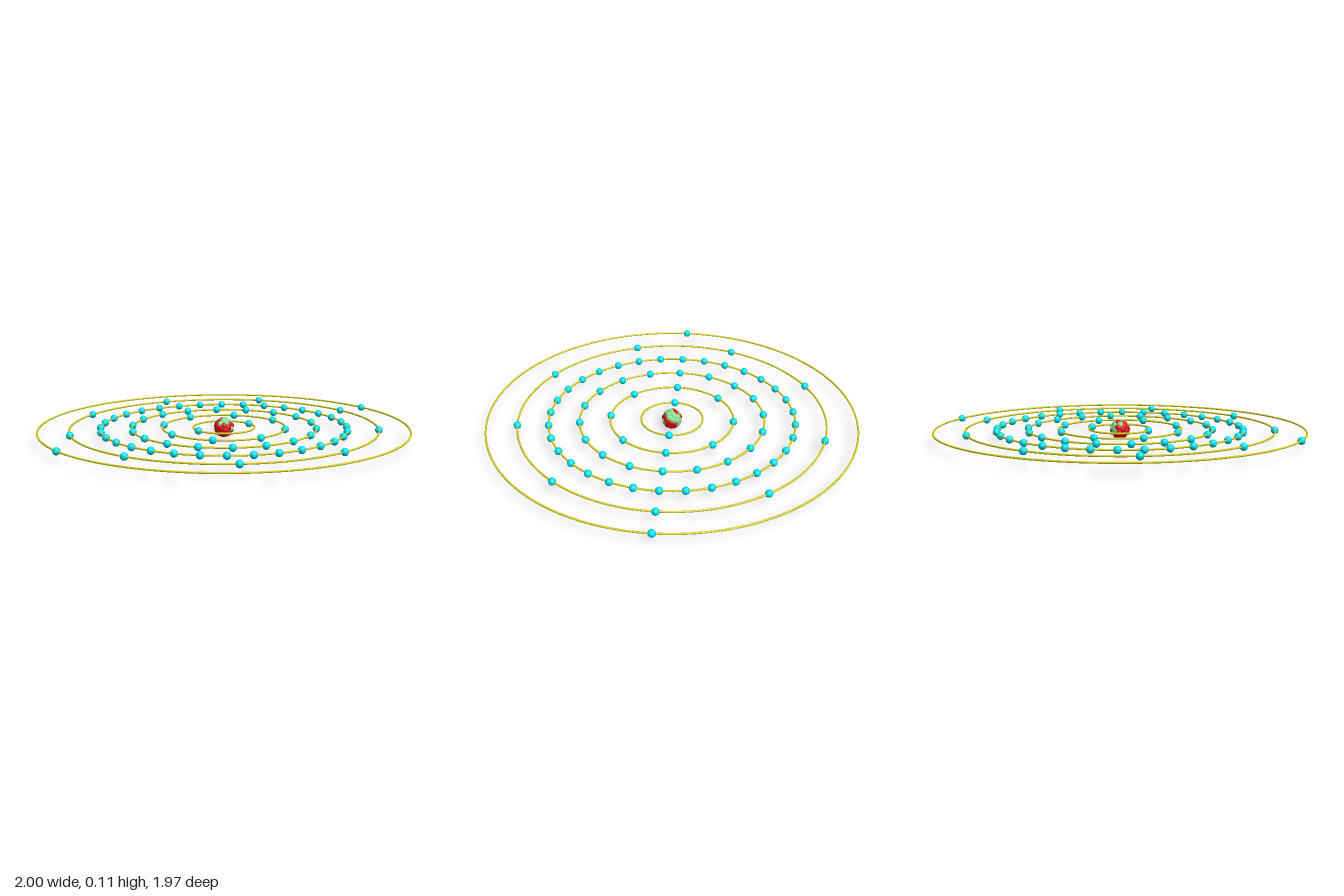
import * as THREE from 'three';

const CENTRE_Y = 0.054;
const RING_STEP = 0.1633;
const BALL_RADIUS = 0.02;
const ELECTRONS_PER_SHELL = [2, 8, 18, 32, 9, 2];

const mat = (color) => new THREE.MeshStandardMaterial({ color });

function addMesh(parent, name, geometry, material, x = 0, y = 0, z = 0) {
  const mesh = new THREE.Mesh(geometry, material);
  mesh.name = name;
  mesh.position.set(x, y, z);
  parent.add(mesh);
  return mesh;
}

// Small seeded generator
function seeded(seed) {
  return () => (seed = (seed * 16807) % 2147483647) / 2147483647;
}

// Points spread evenly over a sphere
function spherePoints(count, radius) {
  const points = [];
  for (let i = 0; i < count; i++) {
    const y = 1 - (2 * (i + 0.5)) / count;
    const r = Math.sqrt(1 - y * y);
    const a = i * Math.PI * (3 - Math.sqrt(5));
    points.push(new THREE.Vector3(r * Math.cos(a), y, r * Math.sin(a)).multiplyScalar(radius));
  }
  return points;
}

// Packed ball of overlapping red protons and green neutrons
function createNucleus(ball) {
  const nucleus = new THREE.Group();
  nucleus.name = 'nucleus';
  const red = mat(0xe01010);
  const green = mat(0x80e090);
  const random = seeded(71);
  for (const p of spherePoints(44, 0.034)) {
    // Neutrons are more common towards the top
    const isNeutron = random() < 0.36 + p.y * 9;
    addMesh(nucleus, isNeutron ? 'neutron' : 'proton', ball, isNeutron ? green : red, p.x, p.y, p.z);
  }
  return nucleus;
}

export function createModel() {
  const atom = new THREE.Group();
  atom.name = 'atom';
  const body = new THREE.Group();
  body.name = 'atomBody';
  body.position.y = CENTRE_Y;
  atom.add(body);

  const ball = new THREE.SphereGeometry(BALL_RADIUS, 18, 12);
  body.add(createNucleus(ball));

  const ringMaterial = mat(0xd8d020);
  const electronMaterial = mat(0x00e0f0);

  // Flat concentric orbits, each with evenly spaced electrons starting at +x
  ELECTRONS_PER_SHELL.forEach((count, i) => {
    const radius = RING_STEP * (i + 1);
    const shell = new THREE.Group();
    shell.name = `shell${i + 1}`;
    body.add(shell);
    const ring = new THREE.TorusGeometry(radius, 0.005, 8, 128).rotateX(Math.PI / 2);
    addMesh(shell, 'orbitRing', ring, ringMaterial);
    for (let k = 0; k < count; k++) {
      const a = (k / count) * Math.PI * 2;
      addMesh(shell, 'electron', ball, electronMaterial, radius * Math.cos(a), 0, radius * Math.sin(a));
    }
  });
  return atom;
}
